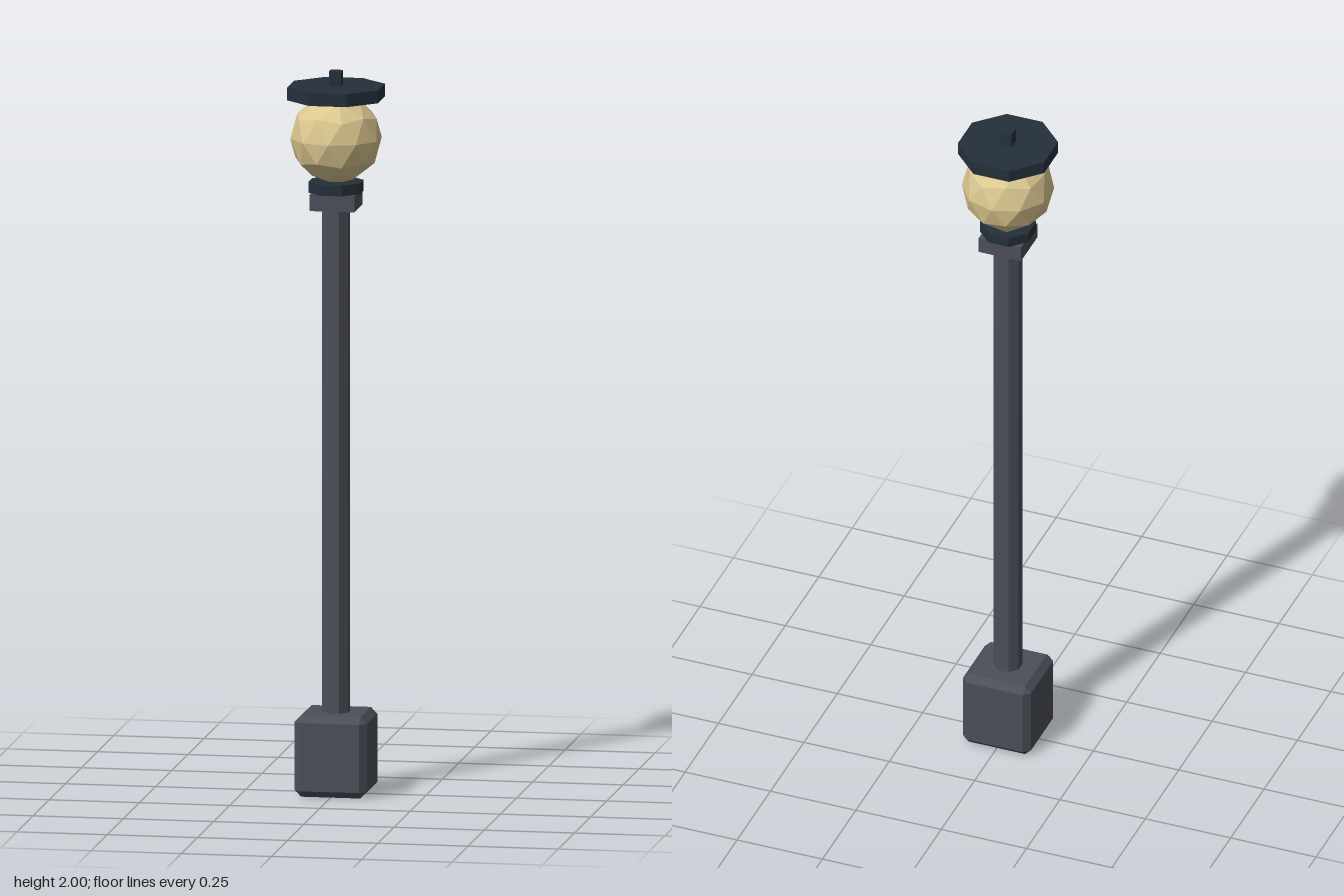
import * as THREE from 'three';
import { ConvexGeometry } from 'three/addons/geometries/ConvexGeometry.js';

const material = (name, color) => {
  const m = new THREE.MeshStandardMaterial({ color, flatShading: true });
  m.name = name;
  return m;
};

// Box with flat chamfers on every edge
function chamferedBox(w, h, d, c) {
  const points = [];
  for (const sx of [-1, 1]) for (const sy of [-1, 1]) for (const sz of [-1, 1]) {
    for (let axis = 0; axis < 3; axis++) {
      const inset = [c, c, c];
      inset[axis] = 0;
      points.push(new THREE.Vector3(
        sx * (w / 2 - inset[0]), sy * (h / 2 - inset[1]), sz * (d / 2 - inset[2])));
    }
  }
  return new ConvexGeometry(points);
}

// Upright octagonal prism with flat sides facing the axes
function octagon(halfWidth, height) {
  const g = new THREE.CylinderGeometry(
    halfWidth / Math.cos(Math.PI / 8), halfWidth / Math.cos(Math.PI / 8), height, 8);
  return g.rotateY(Math.PI / 8);
}

export function createModel() {
  const group = new THREE.Group();
  group.name = 'streetLamp';

  const iron = material('grey iron', 0x4c4f59);
  const dark = material('dark iron', 0x24303a);
  const glass = material('warm glass', 0xdcc890);

  // Place a part between two heights
  const add = (name, geometry, mat, bottom, top) => {
    const mesh = new THREE.Mesh(geometry, mat);
    mesh.name = name;
    mesh.position.y = (bottom + top) / 2;
    group.add(mesh);
  };

  // Base, pole and collar
  add('base', chamferedBox(0.2, 0.225, 0.2, 0.018), iron, 0, 0.225);
  add('pole', octagon(0.036, 1.42), iron, 0.21, 1.63);
  add('collar', new THREE.BoxGeometry(0.124, 0.045, 0.124), iron, 1.62, 1.665);
  add('globeSeat', octagon(0.071, 0.03), dark, 1.665, 1.695);

  // Faceted globe, turned so that one vertex points straight up
  const globe = new THREE.IcosahedronGeometry(0.126, 1);
  globe.rotateZ(-Math.atan(2 / (1 + Math.sqrt(5))));
  add('globe', globe, glass, 1.688, 1.94);

  // Cap and finial
  add('cap', octagon(0.126, 0.036), dark, 1.923, 1.959);
  add('finial', new THREE.BoxGeometry(0.034, 0.05, 0.034), dark, 1.95, 2);

  return group;
}
